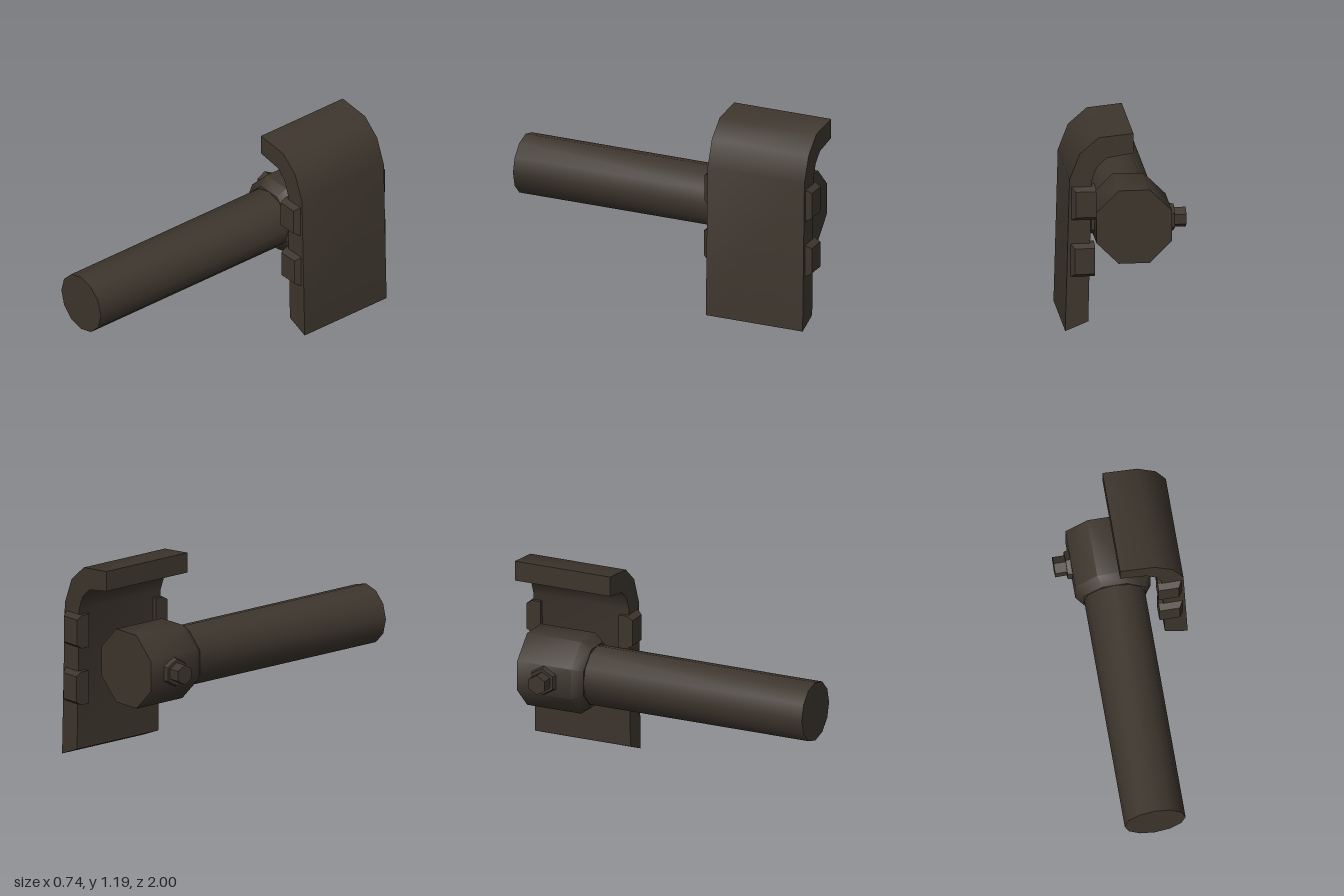
import * as THREE from 'three';
import { toCreasedNormals } from 'three/addons/utils/BufferGeometryUtils.js';

export function createModel() {
  const model = new THREE.Group();
  const darkBrown = new THREE.MeshStandardMaterial({ color: 0x3d352d });
  darkBrown.name = 'darkBrown';

  const add = (name, geometry, crease = 0.7) => {
    const mesh = new THREE.Mesh(toCreasedNormals(geometry, crease), darkBrown);
    mesh.name = name;
    model.add(mesh);
    return mesh;
  };

  // Twelve-sided tube with its axis along z
  const tube = new THREE.CylinderGeometry(0.18, 0.18, 1.46, 12);
  tube.rotateX(Math.PI / 2);
  tube.translate(-0.05, 0.58, 0.27);
  add('tube', tube);

  // Octagonal head, chamfered where it meets the tube
  const profile = [[0, -0.83], [0.24, -0.83], [0.24, -0.48], [0.195, -0.42], [0, -0.42]]
    .map(([r, z]) => new THREE.Vector2(r, z));
  const head = new THREE.LatheGeometry(profile, 8, Math.PI / 8);
  head.rotateX(Math.PI / 2);
  head.translate(-0.05, 0.58, 0);
  add('head', head, 0.8);

  // Cross bolt: hexagonal pins and tapered collars on both sides
  const boltPart = (name, rLeft, rRight, x0, x1) => {
    const g = new THREE.CylinderGeometry(rLeft, rRight, x1 - x0, 6);
    g.rotateZ(Math.PI / 2);
    g.rotateX(Math.PI / 6);
    g.translate((x0 + x1) / 2, 0.58, -0.655);
    add(name, g, 0.5);
  };
  boltPart('outerPin', 0.06, 0.06, -0.37, -0.29);
  boltPart('outerCollar', 0.08, 0.095, -0.3, -0.25);
  boltPart('innerCollar', 0.095, 0.08, 0.15, 0.19);
  boltPart('innerPin', 0.06, 0.06, 0.18, 0.24);

  // Curved guard plate, its section swept along z
  const section = new THREE.Shape([
    [0.37, 0], [0.345, 0.92], [0.285, 1.075], [0.175, 1.17], [-0.03, 1.19],
    [-0.03, 1.07], [0.125, 1.045], [0.185, 0.99], [0.215, 0.91], [0.235, 0.055],
  ].map(([x, y]) => new THREE.Vector2(x, y)));
  const plate = new THREE.ExtrudeGeometry(section, { depth: 0.62, bevelEnabled: false });
  plate.translate(0, 0, -0.965);
  add('guardPlate', plate, 0.8);

  // Chamfered clips gripping the front and back edges of the plate
  const centreZ = -0.655;
  for (const [label, x, y] of [['upper', 0.262, 0.775], ['lower', 0.268, 0.43]]) {
    for (const side of [1, -1]) {
      const g = new THREE.BoxGeometry(0.14, 0.2, 0.09, 1, 1, 2);
      const p = g.attributes.position;
      for (let i = 0; i < p.count; i++) {
        const z = p.getZ(i);
        if (z * side > 0.01) {
          p.setY(i, p.getY(i) * 0.78);
          if (p.getX(i) > 0) p.setX(i, 0.05);
        } else if (Math.abs(z) < 0.01) {
          p.setZ(i, 0.01 * side);
        }
      }
      g.translate(x, y, centreZ + side * 0.3);
      add(label + (side > 0 ? 'FrontClip' : 'BackClip'), g, 0.4);
    }
  }
  return model;
}
